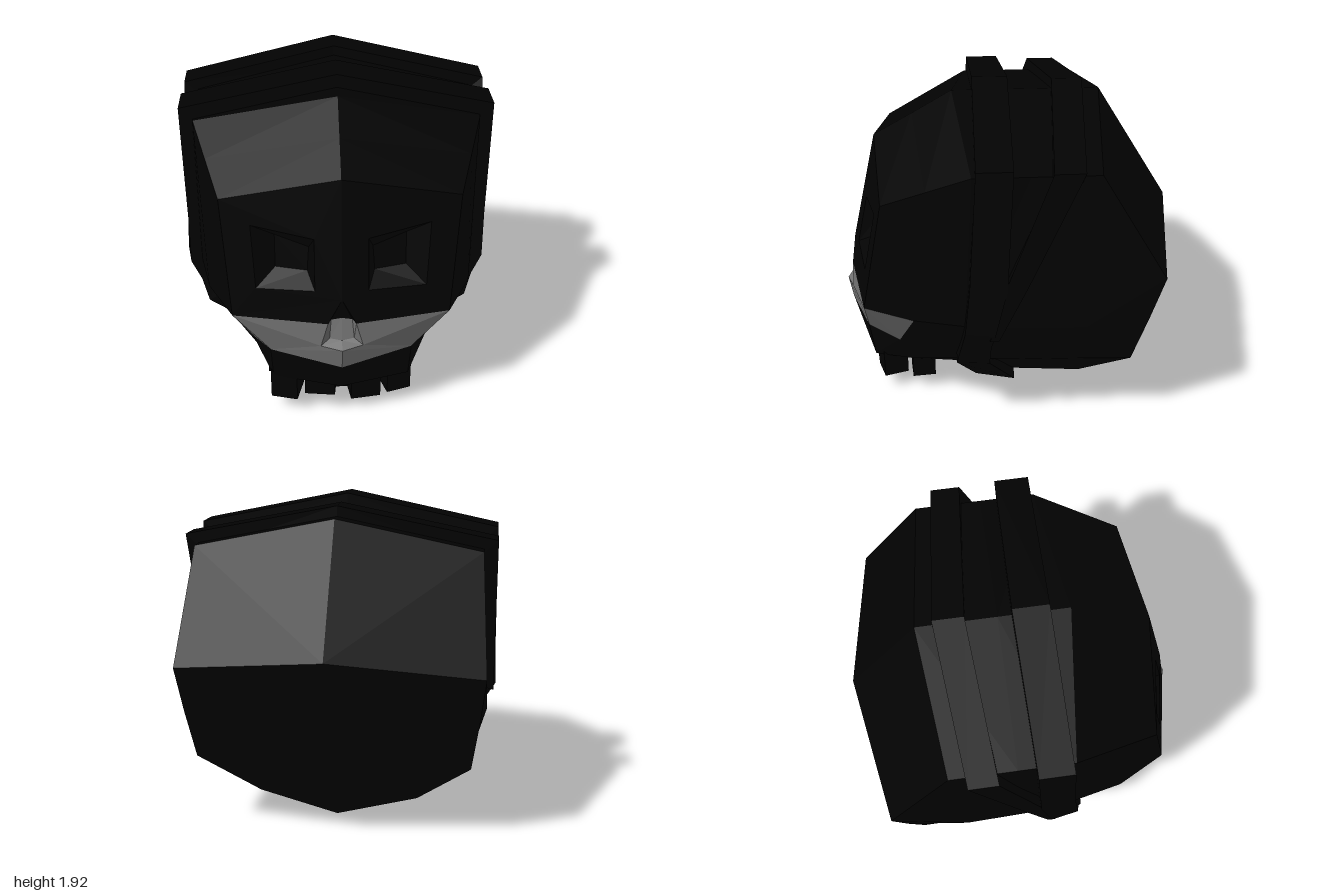
import * as THREE from 'three';

const dark = new THREE.MeshStandardMaterial({ color: 0x020202, flatShading: true });
const grey = new THREE.MeshStandardMaterial({ color: 0x727272, flatShading: true });

const flip = ([x, ...rest]) => [-x, ...rest];

// Geometry from a list of polygons (each fanned into triangles)
function panels(polys) {
  const pos = [];
  for (const p of polys)
    for (let k = 1; k < p.length - 1; k++) pos.push(...p[0], ...p[k], ...p[k + 1]);
  const geo = new THREE.BufferGeometry();
  geo.setAttribute('position', new THREE.Float32BufferAttribute(pos, 3));
  geo.computeVertexNormals();
  return geo;
}

// The same polygons on both sides of x = 0
const both = (polys) =>
  panels([...polys, ...polys.map(([p, ...rest]) => [p, ...rest.reverse()].map(flip))]);

// Quads between successive open sections
function loft(rings, skip = () => false) {
  const polys = [];
  for (let i = 0; i < rings.length - 1; i++) {
    const a = rings[i], b = rings[i + 1];
    for (let j = 0; j < a.length - 1; j++)
      if (!skip(i, j)) polys.push([a[j + 1], b[j + 1], b[j], a[j]]);
  }
  return polys;
}

const close = (ring) => [...ring, ring[0]];

export function createModel() {
  const group = new THREE.Group();
  const add = (name, geo, mat = dark) => {
    const mesh = new THREE.Mesh(geo, mat);
    mesh.name = name;
    group.add(mesh);
    return mesh;
  };

  // Depth of the face at any x, y
  const faceZ = (x, y) => .97 - .229 * (y - .74) - x * (.19 - .075 * (y - .74));
  const onFace = ([x, y]) => [x, y, faceZ(x, y)];
  const brow = [0, 1.57], temple = [.67, 1.43], cheekXY = [.62, .74];

  // Skull shell: half sections from the crown down to the underside, front to back
  const sections = [
    [onFace(brow), onFace(temple), onFace(cheekXY), [.41, .485, .85], [.40, .26, .82], [0, .26, .93]],
    [[0, 1.70, .55], [.75, 1.545, .47], [.77, .74, .56], [.52, .44, .66], [.45, .25, .60], [0, .25, .60]],
    [[0, 1.84, .31], [.83, 1.66, .22], [.83, .73, .27], [.76, .46, .28], [.43, .21, .35], [0, .21, .38]],
    [[0, 1.84, -.10], [.83, 1.66, -.10], [.87, .73, -.05], [.79, .46, -.05], [.43, .13, -.06], [0, .10, -.06]],
    [[0, 1.84, -.56], [.83, 1.66, -.48], [.88, .73, -.42], [.80, .46, -.42], [.48, .14, -.44], [0, .03, -.48]],
    [[0, 1.13, -1], [.87, 1.03, -.86], [.84, .75, -.785], [.80, .45, -.70], [.40, .40, -.737], [0, .36, -.77]],
  ];
  const back = sections[5], backCentre = [0, .745, -.885];
  add('skull', both([
    ...loft(sections, (i, j) => i === 0 && j === 2),
    ...back.slice(1).map((p, j) => [back[j], p, backCentre]),
  ]));

  // Face plate with eye openings
  const v2 = (list) => list.map(([x, y]) => new THREE.Vector2(x, y));
  const eyeRim = [[.5, 1.29], [.15, 1.23], [.15, .93], [.48, .92]];
  const eyeFloor = [[.37, 1.19], [.18, 1.13], [.19, .99], [.37, 1.0]];
  const shape = new THREE.Shape(v2([brow, [0, .89], [.08, .74], cheekXY, temple]));
  shape.holes.push(new THREE.Path(v2(eyeRim)));
  const flat = new THREE.ShapeGeometry(shape).toNonIndexed().attributes.position;
  const tris = [];
  for (let i = 0; i < flat.count; i += 3)
    tris.push([0, 1, 2].map((k) => onFace([flat.getX(i + k), flat.getY(i + k)])));
  add('facePlate', both(tris));

  // Sunken eye sockets
  const floor = eyeFloor.map(([x, y]) => [x, y, faceZ(x, y) - .1]);
  add('eyeSockets', both([...loft([close(eyeRim.map(onFace)), close(floor)]), floor]));

  // Muzzle band and nose hollow
  const top = onFace([.08, .74]), nostril = [.12, .59, .96], lip = [0, .58, 1];
  const base = [0, .44, .975], cheek = onFace(cheekXY), cheekLow = sections[0][3];
  const side = sections[1][2], sideLow = sections[1][3];
  const in1 = [.06, .73, .90], in2 = [.07, .62, .93], mid1 = [0, .74, .90], mid2 = [0, .61, .94];
  add('muzzleBand', both([
    [top, nostril, cheek], [nostril, cheekLow, cheek],
    [lip, base, cheekLow], [lip, cheekLow, nostril],
    [cheek, cheekLow, sideLow, side],
  ]), grey);
  add('noseHollow', both([
    [top, in1, in2, nostril], [nostril, in2, mid2, lip], [mid1, mid2, in2, in1],
  ]), grey);
  add('noseBridge', both([[onFace([0, .89]), mid1, in1, top]]));
  add('upperJaw', both([[base, sections[0][5], sections[0][4], cheekLow]]));

  // Straps: stations of x, y, front z, back z, then x and y shift of the front edge
  const station = ([x, y, zf, zb, dx = 0, dy = 0]) => {
    const xi = x * .88, yi = .9 + (y - .9) * .88;
    return close([[x, y, zb], [x + dx, y + dy, zf], [xi + dx, yi + dy, zf], [xi, yi, zb]]);
  };
  add('frontStrap', both(loft([
    [0, 1.92, .19, -.02], [.91, 1.73, .20, 0], [.92, 1.02, .24, .03, -.02], [.93, .72, .27, .10, -.03],
    [.86, .60, .29, .12, -.02], [.82, .46, .32, .13, -.02], [.43, .05, .20, -.04, 0, .05],
    [0, 0, .17, -.02, 0, .05],
  ].map(station))));
  add('rearStrap', both(loft([
    [0, 1.90, -.28, -.46], [.91, 1.71, -.21, -.38], [.915, 1.02, .04, -.08], [.92, .68, .13, .08],
  ].map(station))));

  // Teeth: x, bottom y, z, width, depth, turn
  const teeth = [
    [-.32, .10, .76, .16, .16, -.25], [-.12, .14, .80, .18, .12, -.12],
    [.14, .08, .76, .18, .14, .15], [.33, .10, .72, .15, .15, .3],
    [-.37, .10, .53, .12, .14, -.1], [.37, .10, .53, .12, .14, .1],
    [0, .09, .68, .14, .12, 0],
  ];
  for (const [x, y, z, w, d, turn] of teeth) {
    const h = .30 - y;
    const tooth = add('tooth', new THREE.BoxGeometry(w, h, d));
    tooth.position.set(x, y + h / 2, z);
    tooth.rotation.y = turn;
  }
  return group;
}
